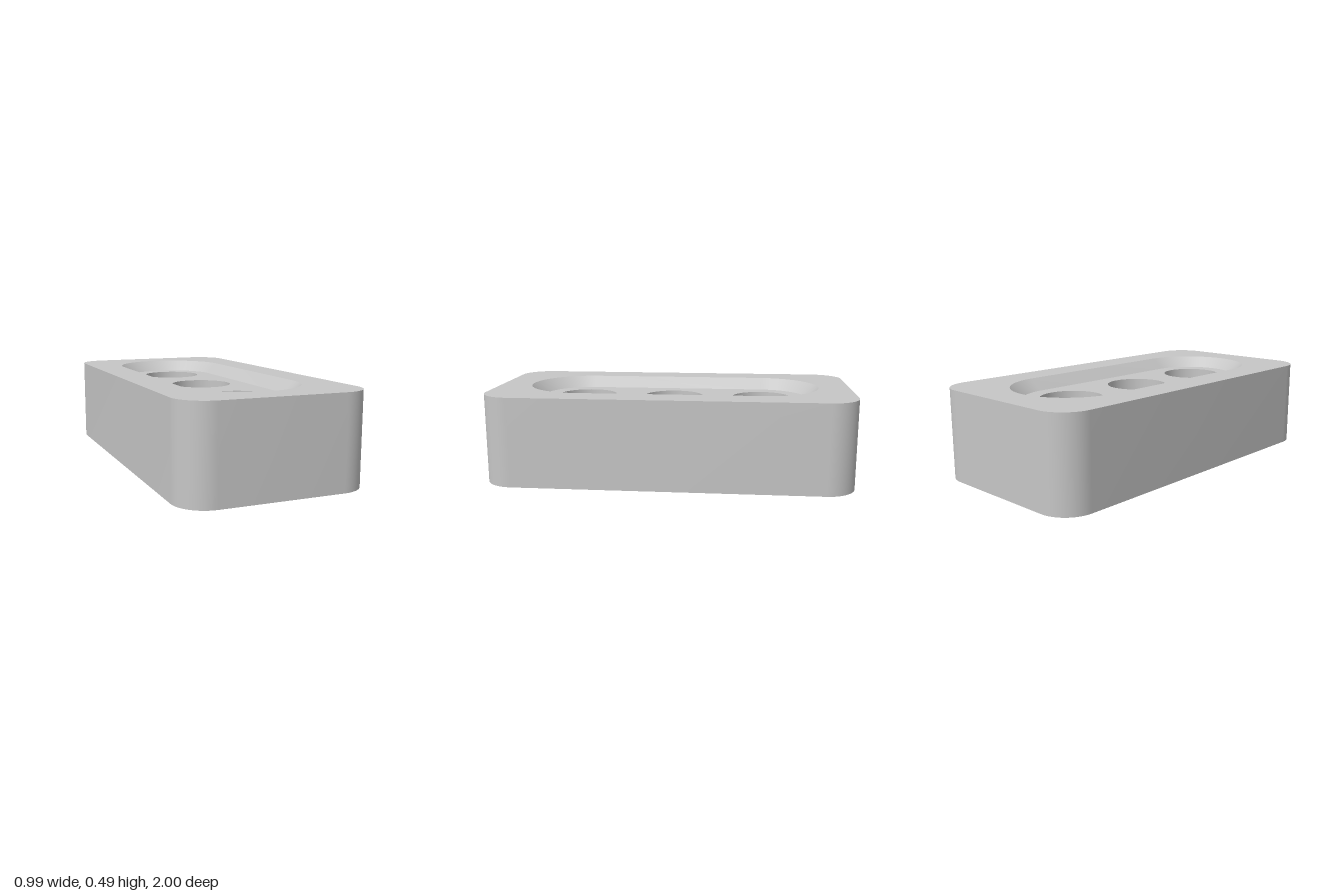
import * as THREE from 'three';
import { mergeGeometries, toCreasedNormals } from 'three/addons/utils/BufferGeometryUtils.js';

const HEIGHT = 0.488, FLOOR = 0.426, CEILING = 0.305, RING_BOTTOM = 0.06;
const WALL = 0.115, HALF_X = 0.495, HALF_Z = 1;
const CENTRES = [-0.508, 0, 0.508];

// Counter-clockwise rounded rectangle; with equal sizes it becomes a circle or stadium.
function outline(hx, hz, r, cz = 0, n = 16) {
  const points = [];
  [[1, 1], [-1, 1], [-1, -1], [1, -1]].forEach(([sx, sz], corner) => {
    for (let i = 0; i <= n; i++) {
      const a = (corner + i / n) * Math.PI / 2;
      const p = new THREE.Vector2(sx * (hx - r) + r * Math.cos(a), cz + sz * (hz - r) + r * Math.sin(a));
      if (!points.some(q => q.distanceTo(p) < 1e-5)) points.push(p);
    }
  });
  return points;
}

const circle = (r, z) => outline(r, r, r, z);

// Side surface between two matching outlines, facing outward or inward.
function sides(low, y0, high, y1, inward = false) {
  const positions = [];
  low.forEach((a, i) => {
    const j = (i + 1) % low.length;
    const b = low[j], c = high[j], d = high[i];
    const A = [a.x, y0, -a.y], B = [b.x, y0, -b.y], C = [c.x, y1, -c.y], D = [d.x, y1, -d.y];
    positions.push(...(inward ? [A, C, B, A, D, C] : [A, B, C, A, C, D]).flat());
  });
  const g = new THREE.BufferGeometry();
  g.setAttribute('position', new THREE.Float32BufferAttribute(positions, 3));
  return g;
}

// Flat face with holes, facing up or down.
function face(points, holes, y, down = false) {
  const shape = new THREE.Shape(points);
  shape.holes = holes.map(h => new THREE.Path(h));
  const g = new THREE.ShapeGeometry(shape).toNonIndexed();
  g.rotateX(down ? Math.PI / 2 : -Math.PI / 2);
  // The downward turn mirrors z, so holes must lie symmetrically or on the axis.
  g.translate(0, y, 0);
  g.deleteAttribute('uv');
  g.deleteAttribute('normal');
  return g;
}

export function createModel() {
  const group = new THREE.Group();
  const grey = new THREE.MeshStandardMaterial({ color: 0xc6c6c6 });
  grey.name = 'lightGrey';

  const add = (name, ...parts) => {
    const mesh = new THREE.Mesh(toCreasedNormals(mergeGeometries(parts), 0.5), grey);
    mesh.name = name;
    group.add(mesh);
    return mesh;
  };

  const outer = outline(HALF_X, HALF_Z, 0.165);
  const cavity = outline(HALF_X - WALL, HALF_Z - WALL, 0.05);
  const rim = outline(0.318, 0.826, 0.318);
  const floor = outline(0.256, 0.764, 0.256);
  const bores = CENTRES.map(z => circle(0.169, z));

  // Outer shell with its top surface and bottom rim
  add('shell', sides(outer, 0, outer, HEIGHT), face(outer, [rim], HEIGHT), face(outer, [cavity], 0, true));

  // Sloping oblong recess in the top
  add('recess', sides(floor, FLOOR, rim, HEIGHT, true), face(floor, bores, FLOOR));

  // Hollow underside
  add('cavity', sides(cavity, 0, cavity, CEILING, true), face(cavity, bores, CEILING, true));

  CENTRES.forEach((z, i) => {
    // Tube around each through hole (outline y runs opposite to z)
    const bore = circle(0.169, -z), ring = circle(0.254, -z);
    const rimFace = face(circle(0.254, 0), [circle(0.169, 0)], RING_BOTTOM, true).translate(0, 0, z);
    add('holeTube' + (i + 1),
      sides(bore, RING_BOTTOM, bore, FLOOR, true),
      sides(ring, RING_BOTTOM, ring, CEILING),
      rimFace);
  });

  // Ribs joining the tubes to the walls
  const ribHeight = CEILING - RING_BOTTOM, ribY = (CEILING + RING_BOTTOM) / 2;
  const addRib = (w, d, x, z) => {
    const rib = new THREE.Mesh(new THREE.BoxGeometry(w, ribHeight, d), grey);
    rib.name = 'rib';
    rib.position.set(x, ribY, z);
    group.add(rib);
  };
  for (const s of [-1, 1]) {
    for (const z of CENTRES) addRib(0.135, 0.09, s * 0.3145, z);
    addRib(0.09, 0.135, 0, s * 0.8195);
  }
  return group;
}
